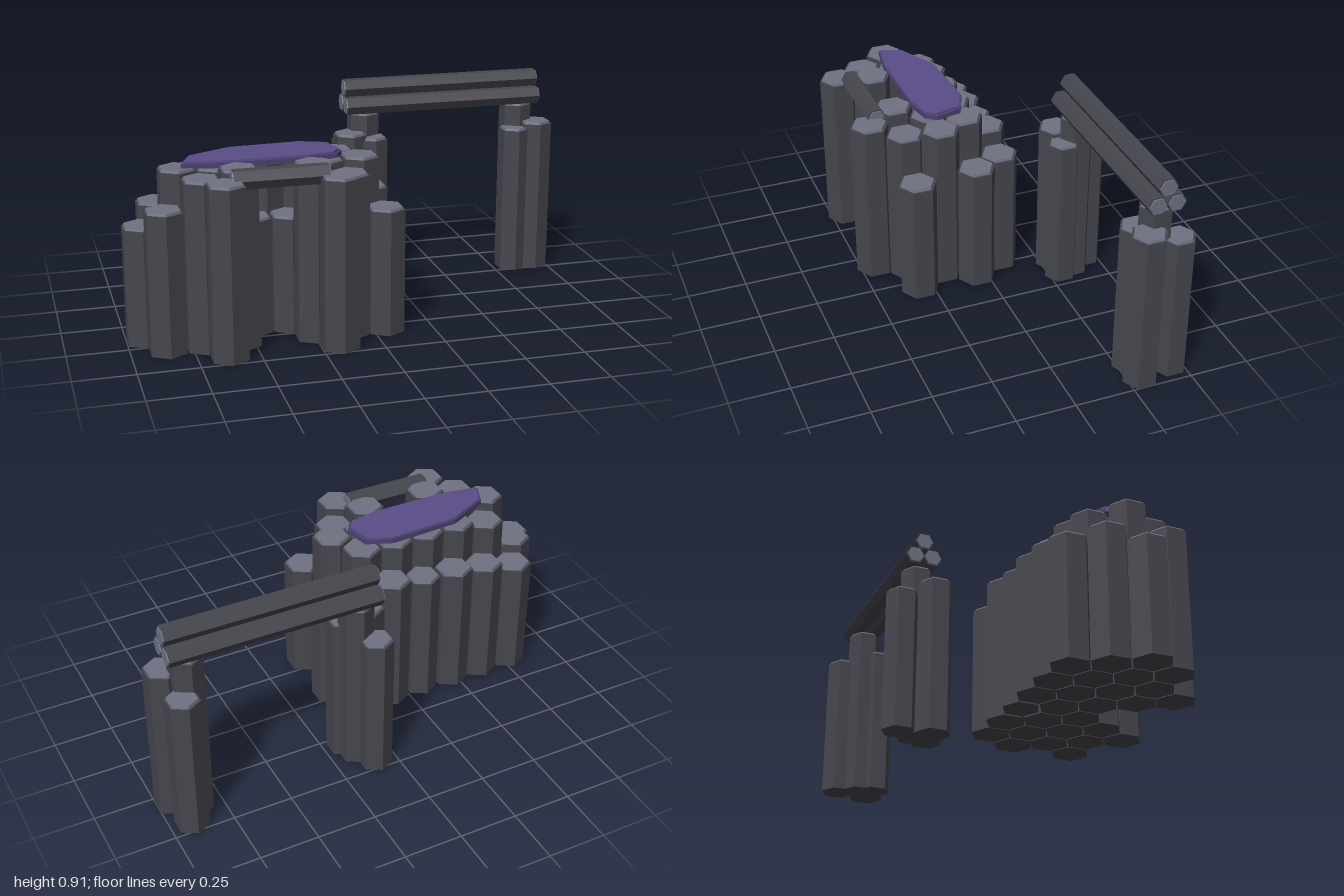
import * as THREE from 'three';

const stone = new THREE.MeshStandardMaterial({ color: 0x46464e });
stone.name = 'dark stone';
const cut = new THREE.MeshStandardMaterial({ color: 0x6f7283 });
cut.name = 'pale cut stone';
const purple = new THREE.MeshStandardMaterial({ color: 0x5b4d88 });
purple.name = 'purple surface';
const purpleRim = new THREE.MeshStandardMaterial({ color: 0x4b4170 });
purpleRim.name = 'dark purple rim';

const CAP = 0.01;

function addMesh(parent, name, geometry, material) {
  const mesh = new THREE.Mesh(geometry, material);
  mesh.name = name;
  parent.add(mesh);
  return mesh;
}

// Six-sided prism with hard edges, from y0 to y1
function prism(r0, r1, y0, y1) {
  const g = new THREE.CylinderGeometry(r1, r0, y1 - y0, 6).toNonIndexed();
  g.translate(0, (y0 + y1) / 2, 0);
  g.computeVertexNormals();
  return g;
}

// Standing basalt column with a pale inset top
function addColumn(parent, x, z, height, r = 0.083) {
  const column = new THREE.Group();
  column.name = 'column';
  addMesh(column, 'columnShaft', prism(r, r, 0, height - CAP), stone);
  addMesh(column, 'columnTop', prism(r - 0.008, r - 0.011, height - CAP, height), cut);
  column.position.set(x, 0, z);
  parent.add(column);
}

// Lying hexagonal log along x with pale ends
function addLog(parent, x0, x1, y, z, r) {
  const log = new THREE.Group();
  log.name = 'stoneLog';
  const half = (x1 - x0) / 2;
  const end = 0.005;
  addMesh(log, 'logShaft', prism(r, r, -half + end, half - end), stone);
  addMesh(log, 'logEnd', prism(r - 0.006, r - 0.005, -half, -half + end), cut);
  addMesh(log, 'logEnd', prism(r - 0.005, r - 0.006, half - end, half), cut);
  log.rotation.z = Math.PI / 2;
  log.position.set((x0 + x1) / 2, y, z);
  parent.add(log);
}

// Flat slab from an outline of [x, z] points, scaled about its middle
function slab(points, scale, y0, y1) {
  const cx = -0.43, cz = 0.12;
  const shape = new THREE.Shape(points.map(([x, z]) =>
    new THREE.Vector2(cx + (x - cx) * scale, -(cz + (z - cz) * scale))));
  const g = new THREE.ExtrudeGeometry(shape, { depth: y1 - y0, bevelEnabled: false });
  g.rotateX(-Math.PI / 2);
  g.translate(0, y0, 0);
  return g;
}

export function createModel() {
  const model = new THREE.Group();
  model.name = 'basaltColumns';

  // Honeycomb cluster: rows of column heights, 0 leaves a gap
  const cluster = new THREE.Group();
  cluster.name = 'columnCluster';
  model.add(cluster);
  const rows = [
    { z: -0.085, x: -0.775, heights: [0.525, 0.565, 0.585, 0.59, 0.615, 0.555] },
    { z: 0.045, x: -0.85, heights: [0.56, 0.69, 0.72, 0.72, 0.72, 0.72, 0.555] },
    { z: 0.175, x: -0.925, heights: [0.5, 0.725, 0.72, 0.5, 0.5, 0.72, 0.725] },
    { z: 0.305, x: -0.85, heights: [0.595, 0.71, 0.743, 0, 0.743, 0.69, 0.537] },
    { z: 0.435, x: -0.625, heights: [0.72, 0, 0, 0.72] },
  ];
  for (const row of rows) {
    row.heights.forEach((h, i) => {
      const x = row.x + i * 0.15;
      const slim = row.z < 0 && i === 3;
      if (h > 0) addColumn(cluster, x, row.z, h, slim ? 0.076 : 0.083);
    });
  }

  // Lintel across the front opening
  addLog(cluster, -0.595, -0.205, 0.717, 0.39, 0.043);

  // Purple surface lying on the cluster
  const outline = [
    [-0.76, 0.205], [-0.722, 0.11], [-0.54, 0.02], [-0.23, 0.005], [-0.12, 0.05],
    [-0.095, 0.16], [-0.125, 0.205], [-0.245, 0.23], [-0.61, 0.23],
  ];
  addMesh(cluster, 'surfaceRim', slab(outline, 1, 0.722, 0.742), purpleRim);
  addMesh(cluster, 'surfaceTop', slab(outline, 0.965, 0.742, 0.75), purple);

  // Gateway: two mirrored piers carrying three logs
  const gateway = new THREE.Group();
  gateway.name = 'gateway';
  model.add(gateway);
  for (const side of [-1, 1]) {
    const pier = new THREE.Group();
    pier.name = side < 0 ? 'rightPier' : 'leftPier';
    gateway.add(pier);
    addColumn(pier, 0.5 + side * 0.36, -0.365, 0.768, 0.072);
    addColumn(pier, 0.5 + side * 0.435, -0.305, 0.69, 0.076);
    addColumn(pier, 0.5 + side * 0.335, -0.3, 0.667, 0.07);
    addColumn(pier, 0.5 + side * 0.41, -0.445, 0.632, 0.072);
  }
  for (const [y, z] of [[0.804, -0.326], [0.804, -0.404], [0.876, -0.365]]) {
    addLog(gateway, 0.05, 0.95, y, z, 0.0415);
  }

  return model;
}
